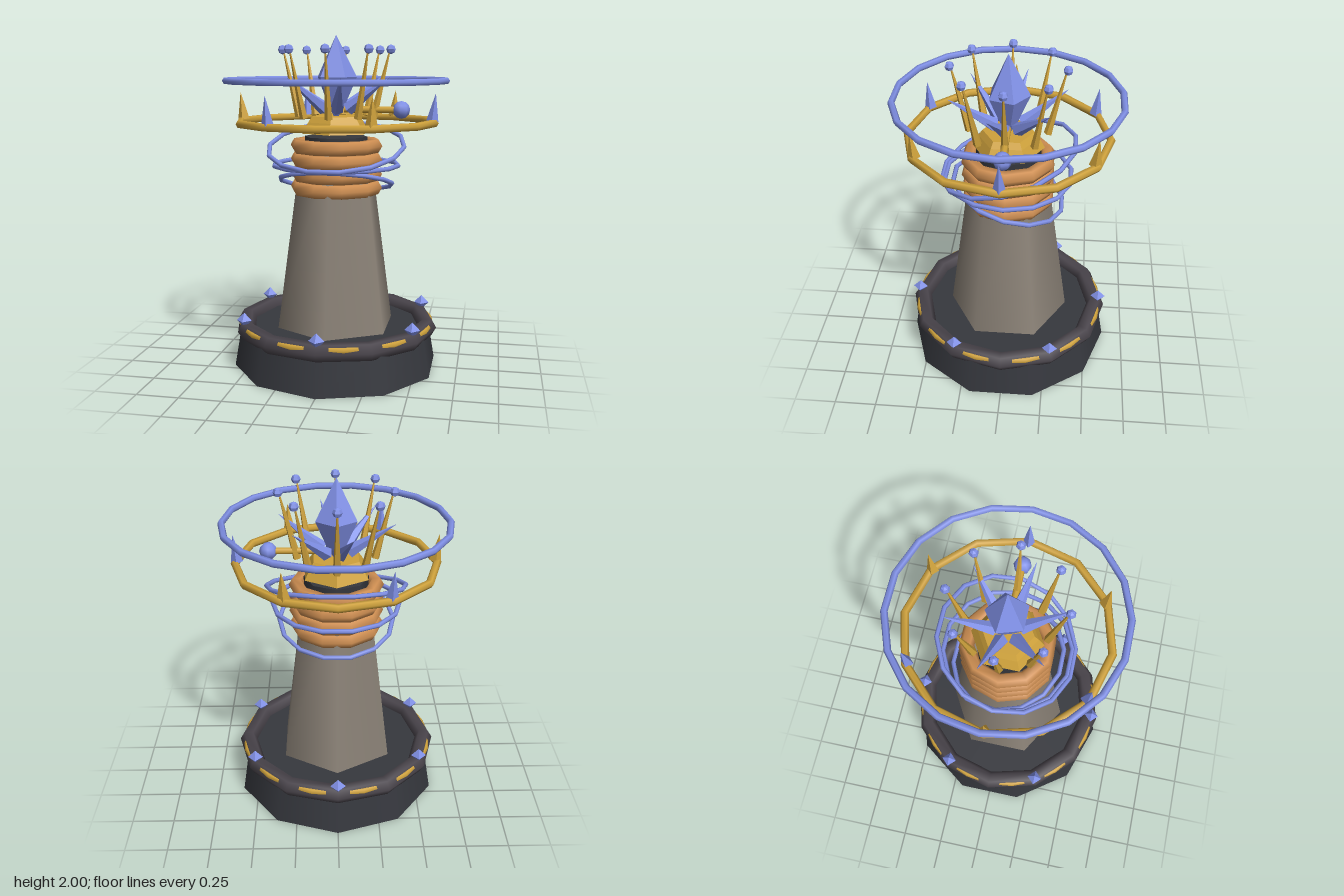
import * as THREE from 'three';

const mat = (color, flatShading = false) => new THREE.MeshStandardMaterial({ color, flatShading });

export function createModel() {
  const model = new THREE.Group();
  const charcoal = mat(0x36383e), darkTrim = mat(0x4a454c), stone = mat(0x8c8378);
  const copper = mat(0xcf8f52), gold = mat(0xcfa23c), goldFlat = mat(0xcfa23c, true);
  const blue = mat(0x8090e6), crystal = mat(0x8090e6, true);

  const add = (name, geometry, material, x = 0, y = 0, z = 0) => {
    const mesh = new THREE.Mesh(geometry, material);
    mesh.name = name;
    mesh.position.set(x, y, z);
    model.add(mesh);
    return mesh;
  };
  // Upright cylinder between two heights
  const drum = (name, rTop, rBottom, y0, y1, sides, material) =>
    add(name, new THREE.CylinderGeometry(rTop, rBottom, y1 - y0, sides), material, 0, (y0 + y1) / 2, 0);
  // Ring lying flat, with an optional tilt towards the front
  const ring = (name, radius, tube, segments, y, material, tilt = 0) => {
    const geometry = new THREE.TorusGeometry(radius, tube, 6, segments).rotateX(Math.PI / 2);
    add(name, geometry, material, 0, y, 0).rotation.x = tilt;
  };
  // Tapered rod from point a to point b
  const rod = (name, a, b, rA, rB, sides, material) => {
    const dir = b.clone().sub(a);
    const mesh = add(name, new THREE.CylinderGeometry(rB, rA, dir.length(), sides), material);
    mesh.position.copy(a).add(b).multiplyScalar(0.5);
    mesh.quaternion.setFromUnitVectors(new THREE.Vector3(0, 1, 0), dir.normalize());
  };
  const polar = (radius, angle, y) =>
    new THREE.Vector3(radius * Math.cos(angle), y, radius * Math.sin(angle));

  // Base with its trim and studs
  drum('base', 0.582, 0.625, 0, 0.25, 10, charcoal);
  ring('baseTrim', 0.565, 0.055, 12, 0.25, darkTrim);
  ring('baseInlay', 0.58, 0.02, 24, 0.268, gold);
  for (let i = 0; i < 6; i++) {
    const p = polar(0.58, Math.PI / 6 + i * Math.PI / 3, 0.32);
    add('baseStud', new THREE.OctahedronGeometry(0.046), crystal, p.x, p.y, p.z);
  }

  // Column and collars
  drum('column', 0.22, 0.37, 0.25, 1.33, 6, stone);
  for (const y of [1.1, 1.183, 1.267, 1.35]) ring('collar', 0.235, 0.045, 10, y, copper);
  drum('columnCap', 0.19, 0.19, 1.33, 1.405, 8, charcoal);

  // Thin rings circling the collars
  ring('upperOrbit', 0.41, 0.014, 14, 1.347, blue, 0.28);
  ring('middleOrbit', 0.376, 0.014, 14, 1.235, blue);
  ring('lowerOrbit', 0.34, 0.014, 14, 1.13, blue, -0.28);

  // Crown seat
  drum('crownSeat', 0.175, 0.21, 1.425, 1.49, 6, goldFlat);
  drum('crownSeatTop', 0.15, 0.175, 1.49, 1.525, 6, goldFlat);

  // Floating rings, the lower one set with spikes
  ring('goldRing', 0.586, 0.024, 12, 1.49, gold);
  ring('haloRing', 0.65, 0.02, 18, 1.735, blue);
  for (let i = 0; i < 6; i++) {
    const a = i * Math.PI / 3;
    rod('ringSpike', polar(0.572, a, 1.5), polar(0.59, a, 1.66), 0.036, 0.001, 4, i % 2 ? goldFlat : crystal);
  }

  // Central crystal
  const profile = [[0, 1.5], [0.05, 1.58], [0.125, 1.755], [0, 2]].map(p => new THREE.Vector2(...p));
  add('centralCrystal', new THREE.LatheGeometry(profile, 5, Math.PI), crystal);

  // Shards leaning out around the crystal
  for (let i = 0; i < 6; i++) {
    const a = Math.PI / 12 + i * Math.PI / 3;
    rod('shard', polar(0.08, a, 1.57), polar(0.34, a, 1.755), 0.042, 0.001, 5, crystal);
  }

  // Crown prongs tipped with beads
  for (let i = 0; i < 8; i++) {
    const a = i * Math.PI / 4;
    rod('prong', polar(0.225, a, 1.52), polar(0.32, a, 1.915), 0.025, 0.004, 5, goldFlat);
    const p = polar(0.325, a, 1.915);
    add('prongBead', new THREE.SphereGeometry(0.028, 6, 4), crystal, p.x, p.y, p.z);
  }

  // Side arm with an orb
  rod('sideArm', polar(0.05, 0, 1.565), polar(0.38, 0, 1.565), 0.02, 0.02, 8, gold);
  add('sideOrb', new THREE.SphereGeometry(0.052, 8, 6), blue, 0.39, 1.565, 0);

  return model;
}
